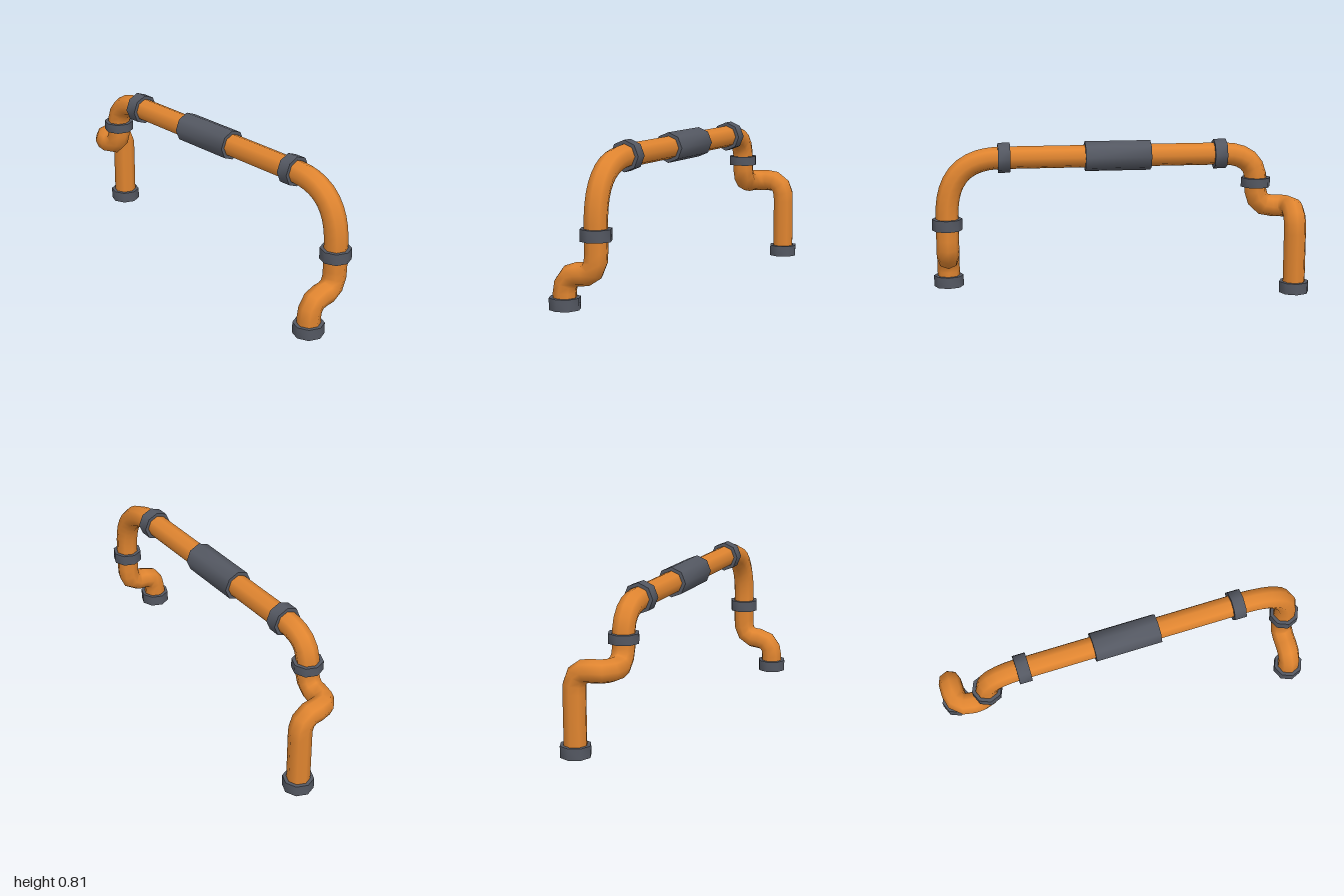
import * as THREE from 'three';
import { toCreasedNormals } from 'three/addons/utils/BufferGeometryUtils.js';

const PIPE_R = 0.06, COLLAR_R = 0.08, SIDES = 8;
const V = (x, y, z) => new THREE.Vector3(x, y, z);

// Straight runs joined by quadratic bends; each corner is [point, run-in, run-out]
function bentPath(start, corners, end) {
  const path = new THREE.CurvePath();
  let cursor = start;
  corners.forEach(([p, dIn, dOut], i) => {
    const next = i + 1 < corners.length ? corners[i + 1][0] : end;
    const a = p.clone().add(cursor.clone().sub(p).setLength(dIn));
    const b = p.clone().add(next.clone().sub(p).setLength(dOut));
    if (cursor.distanceTo(a) > 1e-4) path.add(new THREE.LineCurve3(cursor, a));
    path.add(new THREE.QuadraticBezierCurve3(a, p, b));
    cursor = b;
  });
  path.add(new THREE.LineCurve3(cursor, end));
  return path;
}

// Eight-sided hollow ring with flat ends, standing along y
function ringGeometry(length) {
  const h = length / 2, inner = PIPE_R + 0.001;
  const profile = [[inner, -h], [COLLAR_R, -h], [COLLAR_R, h], [inner, h], [inner, -h]]
    .map(([r, y]) => new THREE.Vector2(r, y));
  return toCreasedNormals(new THREE.LatheGeometry(profile, SIDES), THREE.MathUtils.degToRad(50));
}

export function createModel() {
  const model = new THREE.Group();
  const orange = new THREE.MeshStandardMaterial({ color: 0xe08530, side: THREE.DoubleSide });
  orange.name = 'orange pipe';
  const grey = new THREE.MeshStandardMaterial({ color: 0x545862, side: THREE.DoubleSide });
  grey.name = 'dark grey collar';

  // One continuous pipe from the rear foot over the bridge to the front foot
  const path = bentPath(V(-0.92, 0.005, -0.18), [
    [V(-0.92, 0.44, -0.18), 0.1, 0.09],
    [V(-0.92, 0.44, 0), 0.09, 0.09],
    [V(-0.74, 0.44, 0), 0.09, 0.11],
    [V(-0.74, 0.73, 0), 0.15, 0.19],
    [V(0.917, 0.73, 0), 0.29, 0.3],
    [V(0.917, 0.18, 0), 0.1, 0.09],
    [V(0.917, 0.18, 0.18), 0.09, 0.1],
  ], V(0.917, 0.04, 0.18));
  path.arcLengthDivisions = 800;
  const pipe = new THREE.Mesh(new THREE.TubeGeometry(path, 72, PIPE_R, SIDES), orange);
  pipe.name = 'pipe';
  model.add(pipe);

  // Collars: name, centre, length, lying along x or standing
  const collars = [
    ['rearFootCollar', V(-0.92, 0.03, -0.18), 0.06, false],
    ['frontFootCollar', V(0.917, 0.03, 0.18), 0.06, false],
    ['rightRiserCollar', V(-0.74, 0.573, 0), 0.05, false],
    ['leftRiserCollar', V(0.917, 0.38, 0), 0.06, false],
    ['rightBridgeCollar', V(-0.54, 0.73, 0), 0.066, true],
    ['leftBridgeCollar', V(0.613, 0.73, 0), 0.064, true],
    ['centreSleeve', V(0.01, 0.73, 0), 0.35, true],
  ];
  for (const [name, centre, length, lying] of collars) {
    const collar = new THREE.Mesh(ringGeometry(length), grey);
    collar.name = name;
    collar.position.copy(centre);
    if (lying) collar.rotation.z = Math.PI / 2;
    model.add(collar);
  }
  return model;
}
